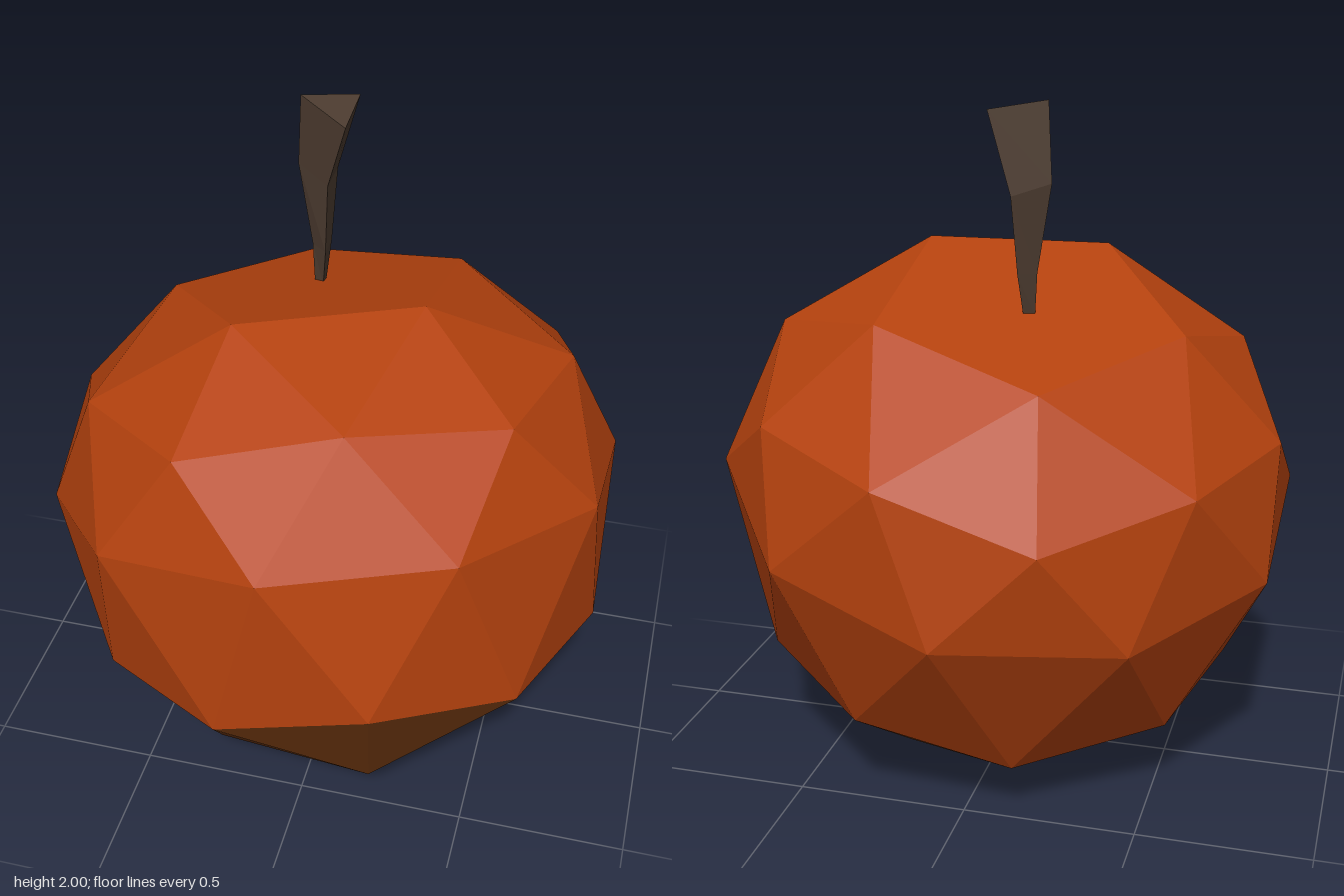
import * as THREE from 'three';

const flat = (name, color) => {
  const m = new THREE.MeshStandardMaterial({ color, flatShading: true });
  m.name = name;
  return m;
};

// Mesh from a list of corner triples (not indexed, so every facet stays flat)
function facets(name, tris, material) {
  const geo = new THREE.BufferGeometry().setFromPoints(tris.flat());
  geo.computeVertexNormals();
  const mesh = new THREE.Mesh(geo, material);
  mesh.name = name;
  return mesh;
}

export function createModel() {
  const group = new THREE.Group();
  const orange = flat('orange skin', 0xb5420e);
  const brown = flat('brown base', 0x6a3510);
  const bark = flat('stem bark', 0x4d3c30);

  // Tilted axis of the fruit and two directions across it
  const centre = new THREE.Vector3(0, 0.812, 0.02);
  const n = new THREE.Vector3(-0.152, 0.948, -0.279).normalize();
  const b = new THREE.Vector3().crossVectors(n, new THREE.Vector3(0.792, 0.285, 0.54)).normalize();
  const a = new THREE.Vector3().crossVectors(b, n);

  // Ring of points around the axis; height and radius may alternate
  const ring = (count, startDeg, heights, radii) =>
    Array.from({ length: count }, (_, j) => {
      const t = THREE.MathUtils.degToRad(startDeg + (360 / count) * j);
      const r = radii[j % radii.length];
      return centre.clone()
        .addScaledVector(n, heights[j % heights.length])
        .addScaledVector(a, r * Math.cos(t))
        .addScaledVector(b, r * Math.sin(t));
    });

  const top = ring(5, 0, [0.653], [0.45]);
  const upper = ring(10, 0, [0.37, 0.43], [0.765, 0.725]);
  const middle = ring(10, 18, [0.077], [0.852]);
  const lower = ring(10, 0, [-0.443, -0.377], [0.726, 0.758]);
  const bottom = ring(5, 36, [-0.719], [0.452]);

  const skin = [];
  const base = [];
  for (let j = 0; j < 10; j++) {
    const k = (j + 1) % 10;
    // Two belts of triangles around the waist
    skin.push([upper[j], middle[j], upper[k]], [upper[k], middle[j], middle[k]]);
    skin.push([middle[j], lower[j], lower[k]], [middle[j], lower[k], middle[k]]);
  }
  for (let i = 0; i < 5; i++) {
    const i1 = (i + 1) % 5;
    const u = 2 * i, u1 = u + 1, u2 = (u + 2) % 10, u3 = (u + 3) % 10;
    // Shoulder below the flat top
    skin.push([top[i], upper[u], upper[u1]], [top[i], upper[u1], top[i1]], [top[i1], upper[u1], upper[u2]]);
    // Underside around the flat bottom
    base.push([bottom[i], lower[u1], lower[u]], [bottom[i], lower[u2], lower[u1]], [bottom[i], bottom[i1], lower[u2]]);
  }
  // Flat pentagons at both ends
  for (let i = 1; i < 4; i++) {
    skin.push([top[0], top[i], top[i + 1]]);
    base.push([bottom[0], bottom[i + 1], bottom[i]]);
  }
  group.add(facets('fruitBody', skin, orange));
  group.add(facets('fruitBase', base, brown));

  // Three-sided bent stem: left, front and back corner of each section
  const sections = [
    [[-0.13, 1.41, -0.2], [-0.1, 1.41, -0.18], [-0.1, 1.41, -0.215]],
    [[-0.138, 1.53, -0.21], [-0.09, 1.53, -0.17], [-0.09, 1.53, -0.243]],
    [[-0.18, 1.78, -0.22], [-0.08, 1.75, -0.16], [-0.08, 1.75, -0.278]],
    [[-0.165, 2.0, -0.2], [-0.017, 1.96, -0.112], [-0.017, 1.98, -0.285]],
  ].map((s) => s.map((p) => new THREE.Vector3(...p)));
  const stem = [sections[3]];
  for (let s = 0; s < 3; s++) {
    const lo = sections[s], hi = sections[s + 1];
    for (let j = 0; j < 3; j++) {
      const k = (j + 1) % 3;
      stem.push([hi[j], lo[j], lo[k]], [hi[j], lo[k], hi[k]]);
    }
  }
  group.add(facets('stem', stem, bark));
  return group;
}
